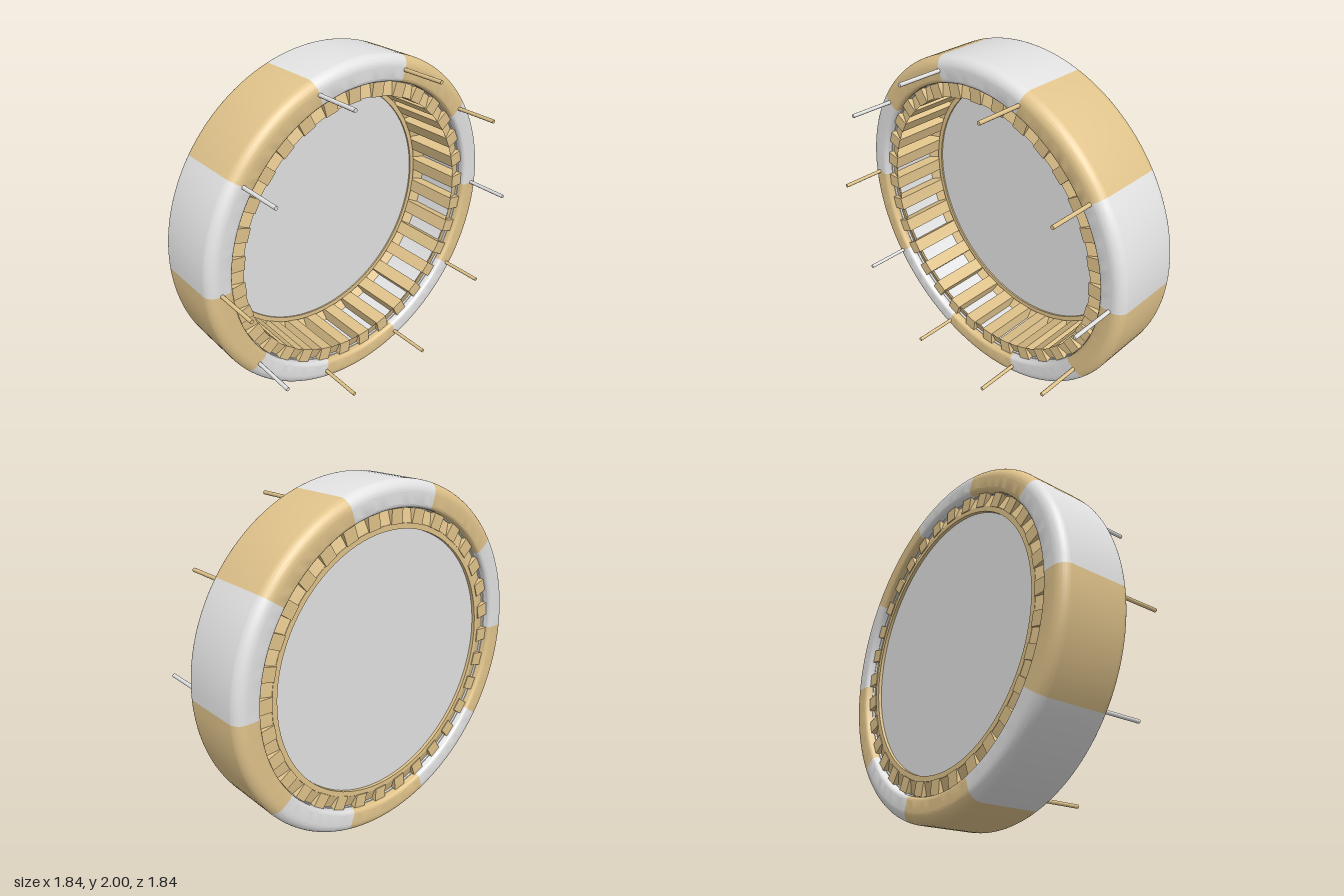
import * as THREE from 'three';
import { toCreasedNormals } from 'three/addons/utils/BufferGeometryUtils.js';

const TAU = Math.PI * 2;
const material = (name, color) => {
  const m = new THREE.MeshStandardMaterial({ color });
  m.name = name;
  return m;
};

// Revolve a closed (radius, depth) profile about the ring axis z, from angle a0 over da.
function revolve(points, segments, a0 = 0, da = TAU) {
  const g = new THREE.LatheGeometry(points, segments, a0 + Math.PI / 2, da);
  g.rotateX(Math.PI / 2);
  return toCreasedNormals(g, 0.6);
}

// Closed profile, listed counter-clockwise so that faces point outward
const profile = (...pairs) => [...pairs, pairs[0]].map(([r, z]) => new THREE.Vector2(r, z));

export function createModel() {
  const silver = material('silver', 0xe2e2e2);
  const gold = material('tan gold', 0xe0c38b);

  const model = new THREE.Group();
  model.name = 'ringDrum';
  const ring = new THREE.Group();
  ring.name = 'ring';
  ring.position.y = 1;
  ring.rotation.y = Math.PI / 4;
  model.add(ring);

  const add = (name, geometry, mat) => {
    const mesh = new THREE.Mesh(geometry, mat);
    mesh.name = name;
    ring.add(mesh);
    return mesh;
  };

  // Rounded outer tyre, ten segments in alternating colours
  const back = -0.335, front = 0.105, corner = 0.062, small = 0.025, inner = 0.857;
  const section = new THREE.Shape();
  section.absarc(1 - corner, back + corner, corner, -Math.PI / 2, 0, false);
  section.absarc(1 - corner, front - corner, corner, 0, Math.PI / 2, false);
  section.absarc(inner + small, front - small, small, Math.PI / 2, Math.PI, false);
  section.absarc(inner + small, back + small, small, Math.PI, Math.PI * 1.5, false);
  section.closePath();
  const tyreProfile = section.getPoints(8);
  const step = TAU / 10;
  for (let k = 0; k < 10; k++) {
    add('tyreSegment', revolve(tyreProfile, 14, k * step, step), k % 2 ? gold : silver);
  }

  // Silver lining behind the slats
  add('innerLining', revolve(profile(
    [0.859, -0.29], [0.859, 0.06], [0.852, 0.06], [0.852, -0.29]), 96), silver);

  // Ring of slats running from front to back
  const slats = 32;
  const slatGeometry = new THREE.BoxGeometry(0.08, 0.078, 0.39);
  for (let i = 0; i < slats; i++) {
    const a = (i + 0.25) * TAU / slats;
    const slat = add('slat', slatGeometry, gold);
    slat.position.set(Math.cos(a) * 0.815, Math.sin(a) * 0.815, -0.115);
    slat.rotation.z = a;
  }

  // Sloped fillers closing the gaps at both ends
  add('frontFiller', revolve(profile([0.858, 0.015], [0.858, 0.045], [0.779, 0.074]), 96), gold);
  add('backFiller', revolve(profile([0.858, -0.275], [0.858, -0.245], [0.779, -0.304]), 96), gold);

  // Back rim holding the disc
  add('discRim', revolve(profile(
    [0.778, -0.305], [0.778, -0.265], [0.748, -0.265], [0.748, -0.305]), 96), gold);
  const disc = new THREE.CylinderGeometry(0.752, 0.752, 0.012, 96);
  disc.rotateX(Math.PI / 2);
  add('disc', disc, silver).position.z = -0.28;

  // Pins standing out of the front at each segment joint
  const pinColours = [silver, gold, gold, silver, silver, gold, silver, gold, gold, gold];
  const pin = new THREE.CylinderGeometry(0.011, 0.011, 0.3, 12);
  pin.rotateX(Math.PI / 2);
  pinColours.forEach((mat, k) => {
    add('pin', pin, mat).position.set(Math.cos(k * step) * 0.927, Math.sin(k * step) * 0.927, 0.214);
  });

  return model;
}
